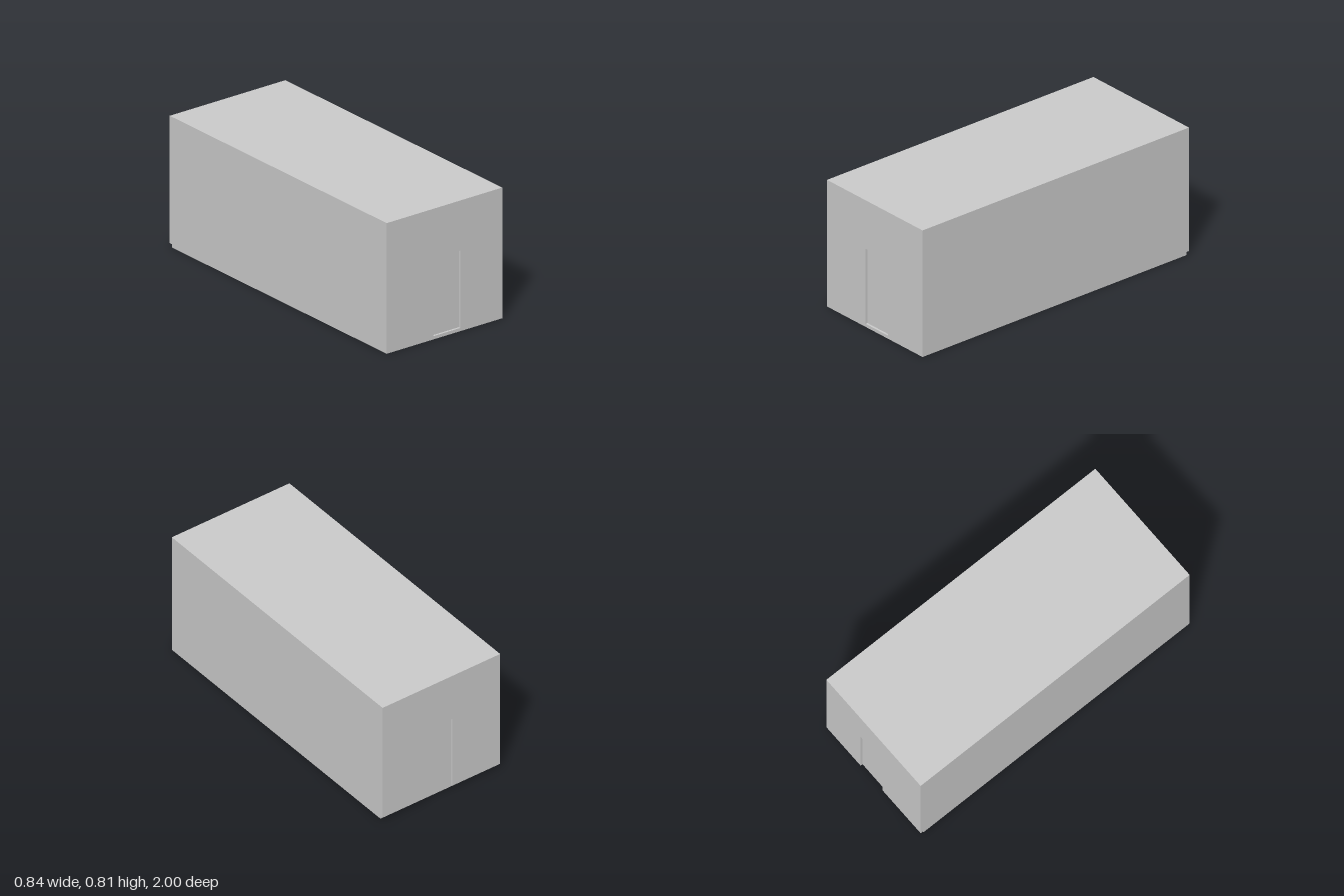
import * as THREE from 'three';

const W = 0.84, H = 0.81, L = 2, T = 0.02;            // outer size and wall thickness
const DOOR = { x0: -0.08, x1: 0.115, top: 0.5 };      // both doorways line up
const RECESS = 0.014;

export function createModel() {
  const room = new THREE.Group();
  room.name = 'room';
  const material = new THREE.MeshStandardMaterial({ color: 0xcccccc, flatShading: true });

  const add = (name, geometry, x, y, z) => {
    const mesh = new THREE.Mesh(geometry, material);
    mesh.name = name;
    mesh.position.set(x, y, z);
    room.add(mesh);
  };
  const box = (name, w, h, d, x, y, z) => add(name, new THREE.BoxGeometry(w, h, d), x, y, z);

  // Floor slab stops short of the back wall, leaving a small step
  box('floor', W, T, L - T, 0, T / 2, T / 2);
  box('roof', W, T, L, 0, H - T / 2, 0);

  // Long side walls, fitted between the end walls
  const wallH = H - 2 * T;
  for (const [name, side] of [['leftWall', 1], ['rightWall', -1]]) {
    box(name, T, wallH, L - 2 * T, side * (W / 2 - T / 2), H / 2, 0);
  }

  // End wall outline, notched from the floor up for the doorway
  const outline = new THREE.Shape([
    [-W / 2, T], [DOOR.x0, T], [DOOR.x0, DOOR.top], [DOOR.x1, DOOR.top],
    [DOOR.x1, T], [W / 2, T], [W / 2, H - T], [-W / 2, H - T],
  ].map(([x, y]) => new THREE.Vector2(x, y)));
  const endWall = new THREE.ExtrudeGeometry(outline, { depth: T, bevelEnabled: false });
  add('frontWall', endWall, 0, 0, L / 2 - T);
  add('backWall', endWall, 0, 0, -L / 2);

  // Door panels set back in their openings
  const doorDepth = T - RECESS;
  for (const [name, end] of [['frontDoor', 1], ['backDoor', -1]]) {
    box(name, DOOR.x1 - DOOR.x0, DOOR.top - T, doorDepth,
      (DOOR.x0 + DOOR.x1) / 2, (DOOR.top + T) / 2, end * (L / 2 - RECESS - doorDepth / 2));
  }
  return room;
}
